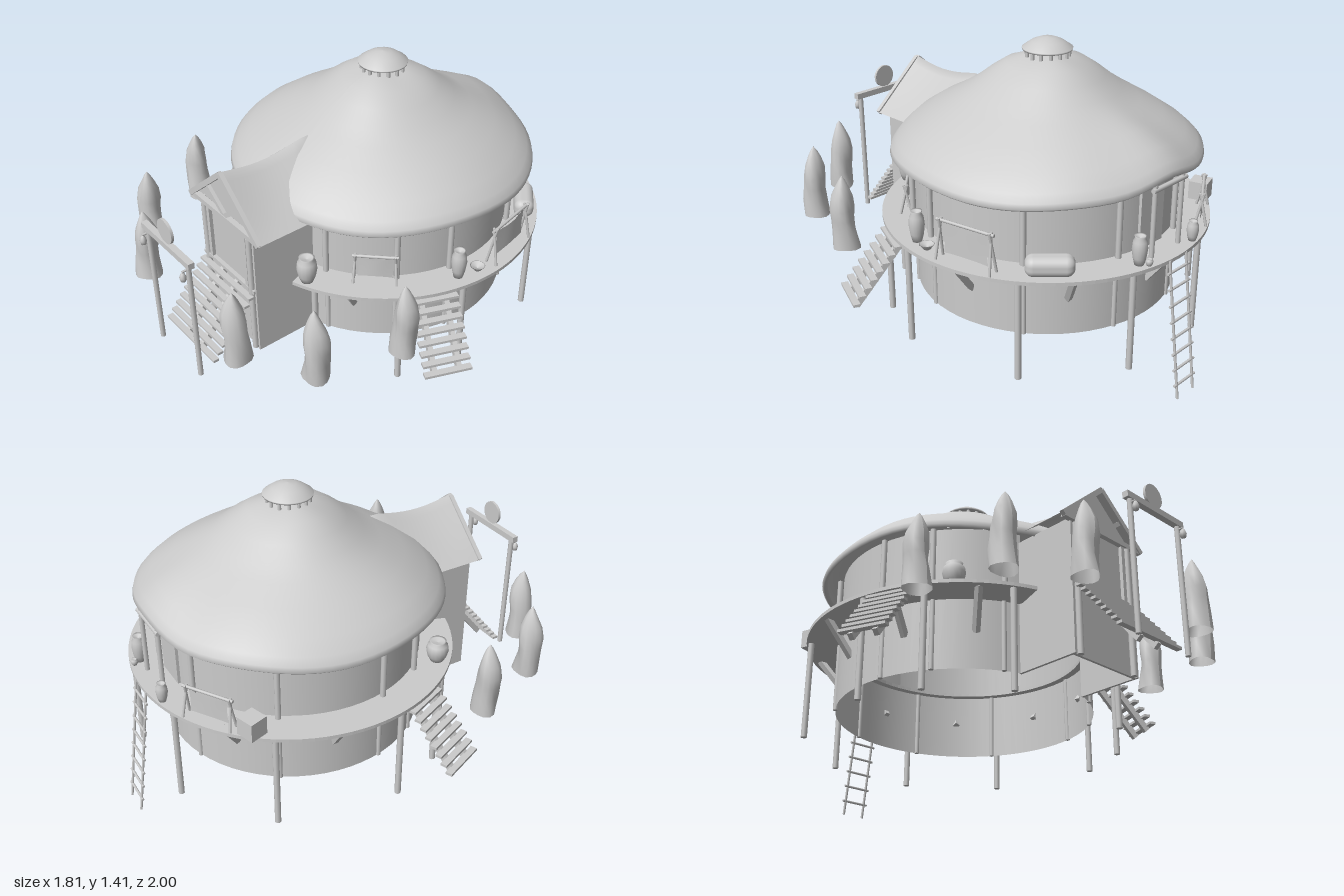
import * as THREE from 'three';
import { RoundedBoxGeometry } from 'three/addons/geometries/RoundedBoxGeometry.js';

const CZ = -0.175; // centre of the round house
const DECK = 0.635;
const mat = new THREE.MeshStandardMaterial({ color: 0xcccccc, side: THREE.DoubleSide });
const V = (x, y, z) => new THREE.Vector3(x, y, z);
// point around the house: 0 degrees = +x, 90 = front
const polar = (deg, r, y) => {
  const a = THREE.MathUtils.degToRad(deg);
  return V(Math.cos(a) * r, y, Math.sin(a) * r + CZ);
};

export function createModel() {
  const model = new THREE.Group();

  const add = (name, geo, pos = V(0, 0, 0), parent = model) => {
    const m = new THREE.Mesh(geo, mat);
    m.name = name;
    m.position.copy(pos);
    parent.add(m);
    return m;
  };
  const box = (name, w, h, d, pos, parent) => add(name, new THREE.BoxGeometry(w, h, d), pos, parent);
  const between = (m, a, b) => {
    m.position.copy(a).lerp(b, 0.5);
    m.quaternion.setFromUnitVectors(V(0, 1, 0), b.clone().sub(a).normalize());
    return m;
  };
  const rod = (name, a, b, r, parent) =>
    between(add(name, new THREE.CylinderGeometry(r, r, a.distanceTo(b), 8), undefined, parent), a, b);
  const beam = (name, a, b, w, d, parent) =>
    between(box(name, w, a.distanceTo(b), d, undefined, parent), a, b);
  const lathe = (name, pts, pos, seg = 16, parent = model) =>
    add(name, new THREE.LatheGeometry(pts.map(p => new THREE.Vector2(...p)), seg), pos, parent);

  // Round wall, open at the porch
  const gap = 0.33;
  add('wall', new THREE.CylinderGeometry(0.585, 0.585, 0.65, 56, 1, true, gap, Math.PI * 2 - gap * 2), V(0, 0.63, CZ));

  // Ring deck
  const ring = new THREE.Shape();
  const a0 = Math.PI / 2 + gap, a1 = Math.PI / 2 - gap + Math.PI * 2;
  ring.absarc(0, 0, 0.735, a0, a1, false);
  ring.absarc(0, 0, 0.55, a1, a0, true);
  const deckGeo = new THREE.ExtrudeGeometry(ring, { depth: 0.016, bevelEnabled: false, curveSegments: 40 });
  deckGeo.rotateX(Math.PI / 2);
  add('deck', deckGeo, V(0, DECK, CZ));

  // Deck stilts, wall posts and slanted braces
  for (const d of [11, 34, 63.5, -34, -72]) {
    for (const deg of [d, 180 - d]) {
      rod('stilt', polar(deg, 0.713, 0.17), polar(deg, 0.713, 0.62), 0.014);
      rod('wallPost', polar(deg, 0.6, DECK), polar(deg, 0.6, 0.95), 0.013);
      rod('lowerWallPost', polar(deg, 0.585, 0.305), polar(deg, 0.585, DECK), 0.011);
    }
  }
  for (const d of [52, 22, -11, -52]) {
    for (const deg of [d, 180 - d]) beam('brace', polar(deg, 0.58, 0.47), polar(deg, 0.7, 0.625), 0.025, 0.025);
  }
  beam('brace', polar(-90, 0.58, 0.47), polar(-90, 0.7, 0.625), 0.025, 0.025);

  // Main roof: lathe with a lumpy surface and an eave raised over the back landing
  const roofPts = [[0.66, 0.925], [0.675, 0.912], [0.686, 0.922], [0.68, 0.945], [0.655, 0.975], [0.6, 1.025], [0.5, 1.09],
    [0.4, 1.145], [0.32, 1.195], [0.25, 1.25], [0.18, 1.297], [0.1, 1.325], [0, 1.335]];
  const roofGeo = new THREE.LatheGeometry(roofPts.map(p => new THREE.Vector2(...p)), 72);
  const rp = roofGeo.attributes.position;
  for (let i = 0; i < rp.count; i++) {
    const x = rp.getX(i), z = rp.getZ(i), r = Math.hypot(x, z), t = Math.atan2(x, z);
    const edge = THREE.MathUtils.smoothstep(r, 0.3, 0.67);
    const back = Math.exp(-(((Math.PI - Math.abs(t)) / 0.28) ** 2));
    const mid = Math.sin(Math.PI * Math.min(1, r / 0.67));
    rp.setY(i, rp.getY(i) + 0.055 * back * edge + 0.008 * edge * Math.sin(5 * t + 1) + 0.008 * mid * Math.sin(3 * t));
  }
  roofGeo.computeVertexNormals();
  add('roof', roofGeo, V(0, 0, CZ));

  // Smoke vent with a small domed cap
  const vent = new THREE.Group();
  vent.name = 'smokeVent';
  model.add(vent);
  lathe('ventCap', [[0, 1.352], [0.108, 1.352], [0.11, 1.36], [0.07, 1.388], [0.035, 1.402], [0, 1.406]], V(0, 0, CZ), 24, vent);
  for (let i = 0; i < 14; i++) rod('ventPost', polar(i * 360 / 14, 0.093, 1.31), polar(i * 360 / 14, 0.093, 1.36), 0.008, vent);

  // Porch walls, doorway and gable
  for (const s of [-1, 1]) {
    box('porchSideWall', 0.012, 0.61, 0.305, V(s * 0.19, 0.61, 0.523));
    rod('porchPost', V(s * 0.165, 0.305, 0.677), V(s * 0.165, 0.9, 0.677), 0.014);
    beam('bargeBoard', V(s * 0.252, 0.908, 0.685), V(0, 1.128, 0.685), 0.024, 0.02);
    beam('gableStrut', V(0, 0.92, 0.678), V(s * 0.125, 1.015, 0.678), 0.02, 0.016);
    box('doorJamb', 0.02, 0.27, 0.02, V(s * 0.135, 0.765, 0.672));
  }
  box('porchFrontWall', 0.38, 0.6, 0.012, V(0, 0.605, 0.66));
  box('gableBeam', 0.48, 0.022, 0.025, V(0, 0.912, 0.677));
  box('porchFloor', 0.38, 0.016, 0.36, V(0, 0.627, 0.505));
  const gable = new THREE.Shape([[-0.235, 0.91], [0.235, 0.91], [0, 1.12]].map(p => new THREE.Vector2(...p)));
  add('gableWall', new THREE.ShapeGeometry(gable), V(0, 0, 0.655));

  // Porch roof: sagging ridge, running back into the main roof
  const pr = new THREE.PlaneGeometry(2, 1, 16, 12);
  const pp = pr.attributes.position;
  for (let i = 0; i < pp.count; i++) {
    const u = pp.getX(i), a = Math.abs(u), t = pp.getY(i) + 0.5; // t: front 0, back 1
    const ridge = 1.14 - 0.028 * Math.sin(Math.PI * Math.min(1, t * 1.1));
    const y = THREE.MathUtils.lerp(ridge, 0.91, a) - 0.012 * Math.sin(Math.PI * a) * t;
    pp.setXYZ(i, u * 0.257, y, THREE.MathUtils.lerp(0.692, 0.24 + 0.2 * a, t));
  }
  pr.computeVertexNormals();
  add('porchRoof', pr);

  // Stairs: local +z leads outwards and down
  const stairs = (name, deg, r0, run, width, steps) => {
    const g = new THREE.Group();
    g.name = name;
    for (let i = 0; i < steps; i++) {
      const t = i / (steps - 1);
      box('tread', width, 0.012, run / steps * 1.1, V(0, 0.6 - t * 0.235, r0 + run * (i + 0.5) / steps), g);
    }
    for (const s of [-1, 1]) beam('stringer', V(s * 0.055, 0.61, r0 - 0.02), V(s * 0.055, 0.34, r0 + run - 0.02), 0.022, 0.03, g);
    g.position.z = CZ;
    g.rotation.y = THREE.MathUtils.degToRad(90 - deg);
    model.add(g);
  };
  stairs('frontStairs', 90, 0.86, 0.22, 0.375, 9);
  stairs('leftStairs', 22.5, 0.715, 0.22, 0.21, 8);
  stairs('rightStairs', 157.5, 0.715, 0.22, 0.21, 8);

  // Front gate with a disc and hanging lanterns
  const gate = new THREE.Group();
  gate.name = 'gate';
  model.add(gate);
  for (const s of [-1, 1]) {
    rod('gatePost', V(s * 0.155, 0.305, 0.955), V(s * 0.155, 0.9, 0.955), 0.012, gate);
    rod('lanternHook', V(s * 0.155, 0.875, 0.95), V(s * 0.155, 0.875, 0.985), 0.005, gate);
    lathe('lantern', [[0, 0.825], [0.011, 0.83], [0.015, 0.848], [0.009, 0.865], [0, 0.875]], V(s * 0.155, 0, 0.983), 10, gate);
  }
  box('gateBeam', 0.365, 0.028, 0.028, V(0, 0.905, 0.955), gate);
  const disc = add('gateDisc', new THREE.CylinderGeometry(0.055, 0.055, 0.012, 28), V(0, 0.972, 0.955), gate);
  disc.rotation.x = Math.PI / 2;

  // Back ladder and landing posts
  for (const s of [-1, 1]) {
    rod('ladderRail', V(s * 0.055, 0.0, -0.993), V(s * 0.055, 0.63, -0.907), 0.006);
    rod('landingPost', V(s * 0.09, DECK, -0.84), V(s * 0.09, 0.96, -0.84), 0.011);
  }
  for (let i = 0; i < 8; i++) {
    const y = 0.065 + i * 0.073, z = -0.993 + 0.086 * y / 0.63;
    rod('rung', V(-0.072, y, z), V(0.072, y, z), 0.006);
  }
  rod('landingBeam', V(-0.11, 0.935, -0.845), V(0.11, 0.935, -0.845), 0.011);
  box('backDoor', 0.15, 0.27, 0.015, V(0, 0.77, -0.76));

  // Standing stones: hollow, pointed and irregular
  const stonePts = [[0.058, 0.5], [0.053, 0.58], [0.05, 0.64], [0.052, 0.69], [0.045, 0.745], [0.028, 0.79], [0.014, 0.82], [0, 0.84]];
  [[-0.75, 0.365], [-0.615, 0.71], [-0.35, 0.88], [0.745, 0.335], [0.635, 0.7], [0.35, 0.885]].forEach(([x, z], k) => {
    const m = lathe('standingStone', stonePts, V(x, 0, z), 14);
    const p = m.geometry.attributes.position;
    for (let i = 0; i < p.count; i++) {
      const px = p.getX(i), pz = p.getZ(i), y = p.getY(i), t = Math.atan2(px, pz);
      const f = 1 + 0.09 * Math.sin(3 * t + k + y * 14) + 0.05 * Math.sin(2 * t - k * 2 + y * 25);
      p.setXYZ(i, px * f + 0.006 * Math.sin(y * 16 + k), y, pz * f);
    }
    m.geometry.computeVertexNormals();
  });

  // Jars and bowl on the deck
  const jar = (x, z, r, h) => lathe('jar', [[0, 0], [0.6, 0], [0.85, 0.25], [1, 0.55], [0.9, 0.8], [0.65, 0.92], [0.75, 1], [0.6, 0.97], [0, 0.9]]
    .map(([a, b]) => [a * r, b * h]), V(x, DECK, z));
  jar(0.27, 0.465, 0.045, 0.125);
  jar(-0.49, 0.29, 0.05, 0.1);
  jar(0.655, -0.05, 0.034, 0.14);
  jar(-0.15, -0.87, 0.026, 0.09);
  jar(0.17, -0.84, 0.033, 0.13);
  jar(0.15, -0.875, 0.016, 0.03);
  lathe('bowl', [[0, 0.005], [0.015, 0.005], [0.033, 0.028], [0.029, 0.028], [0, 0.012]], V(0.68, DECK, -0.14));

  // Hide-drying racks: crossed legs, top bar and a sagging hide
  const rack = (x0, z0, x1, z1, h) => {
    const a = V(x0, DECK, z0), b = V(x1, DECK, z1), dir = b.clone().sub(a), len = dir.length();
    const g = new THREE.Group();
    g.name = 'dryingRack';
    for (const s of [-1, 1]) {
      for (const q of [-1, 1]) rod('rackLeg', V(s * len * 0.5, 0, q * 0.025), V(s * len * 0.46, h, -q * 0.008), 0.006, g);
    }
    rod('rackBar', V(-len * 0.53, h * 0.95, 0), V(len * 0.53, h * 0.95, 0), 0.007, g);
    const hide = new THREE.PlaneGeometry(len * 0.82, h * 0.75, 8, 6);
    const p = hide.attributes.position;
    for (let i = 0; i < p.count; i++) {
      const u = p.getX(i) / (len * 0.41), v = p.getY(i) / (h * 0.375);
      p.setXYZ(i, p.getX(i) * (0.94 + 0.06 * v * v), p.getY(i) - 0.01 * v * (1 - u * u), 0.006 * Math.cos(u * 2));
    }
    hide.computeVertexNormals();
    add('hide', hide, V(0, h * 0.52, 0), g);
    g.position.copy(a).lerp(b, 0.5);
    g.rotation.y = Math.atan2(-dir.z, dir.x);
    model.add(g);
  };
  rack(0.39, 0.31, 0.52, 0.18, 0.135);
  rack(0.685, -0.22, 0.635, -0.48, 0.18);
  rack(-0.28, -0.82, -0.47, -0.7, 0.15);

  // Crate and bundle at the back of the deck
  box('crate', 0.085, 0.085, 0.085, V(-0.53, DECK + 0.042, -0.645)).rotation.y = 0.3;
  const bundle = add('bundle', new RoundedBoxGeometry(0.2, 0.085, 0.09, 4, 0.035), V(0.48, DECK + 0.042, -0.64));
  bundle.rotation.y = -0.8;

  return model;
}
